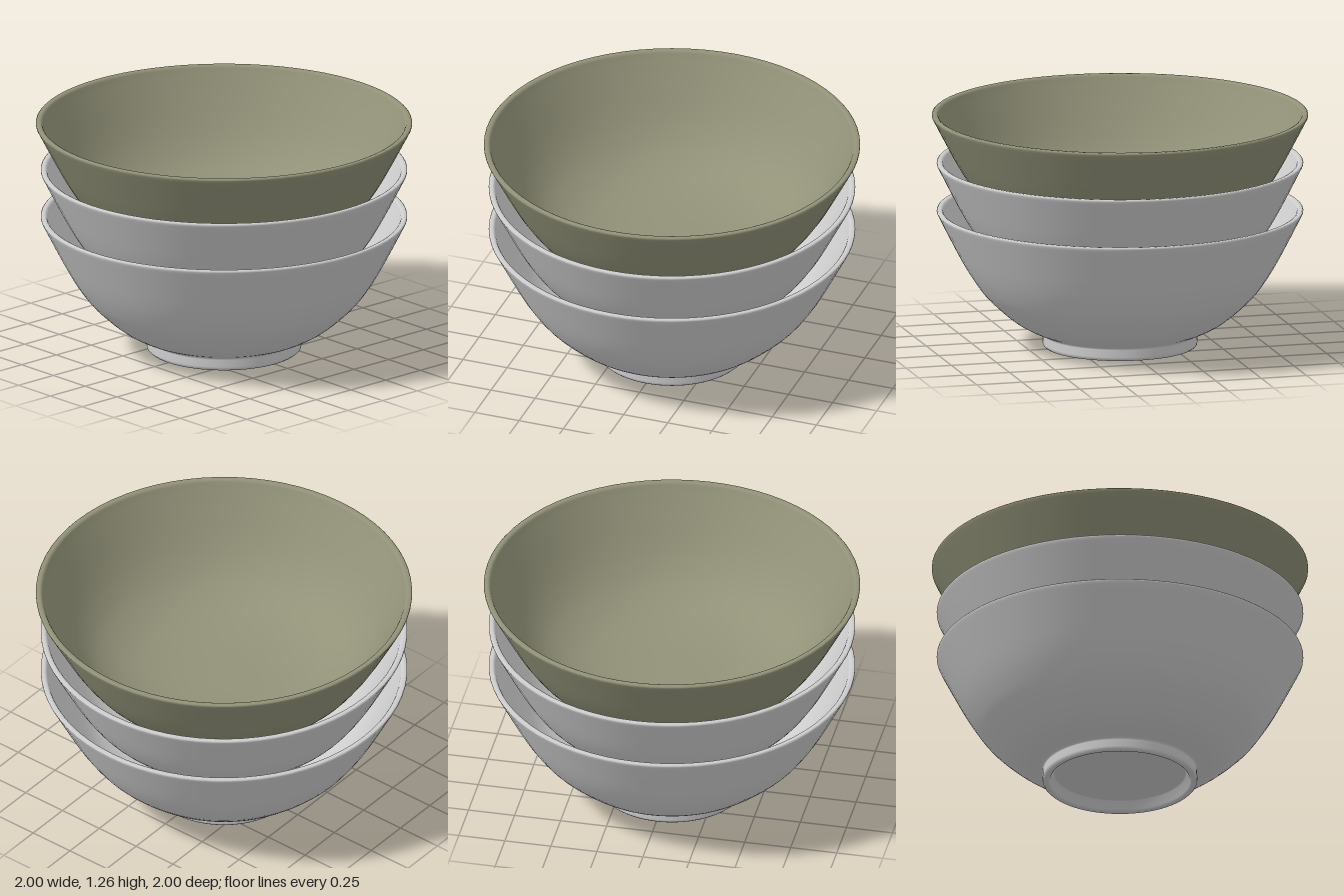
import * as THREE from 'three';

// Bowl cross-section from the underside centre, up the outside, over the rim, down inside
function bowlProfile() {
  const v = (x, y) => new THREE.Vector2(x, y);
  const foot = [
    [0, 0.055], [0.345, 0.055], [0.355, 0.052], [0.372, 0.01], [0.38, 0.003],
    [0.388, 0], [0.402, 0], [0.41, 0.008], [0.412, 0.02], [0.41, 0.06], [0.411, 0.067],
  ].map(([x, y]) => v(x, y));
  const outer = new THREE.SplineCurve([
    v(0.42, 0.073), v(0.5, 0.108), v(0.59, 0.165), v(0.71, 0.275),
    v(0.785, 0.375), v(0.845, 0.475), v(0.91, 0.6), v(0.968, 0.715),
  ]).getPoints(24);
  const rim = [
    [0.974, 0.728], [0.974, 0.735], [0.969, 0.74], [0.953, 0.74], [0.945, 0.736], [0.94, 0.728],
  ].map(([x, y]) => v(x, y));
  const inner = new THREE.SplineCurve([
    v(0.935, 0.715), v(0.875, 0.6), v(0.805, 0.475), v(0.735, 0.375),
    v(0.65, 0.29), v(0.53, 0.22), v(0.38, 0.18), v(0.2, 0.162), v(0, 0.16),
  ]).getPoints(28);
  inner[inner.length - 1].x = 0;
  return [...foot, ...outer, ...rim, ...inner];
}

export function createModel() {
  const model = new THREE.Group();
  model.name = 'bowlStack';
  const grey = new THREE.MeshStandardMaterial({ name: 'light grey', color: 0xcdcdcd });
  const olive = new THREE.MeshStandardMaterial({ name: 'olive', color: 0x929279 });
  const geometry = new THREE.LatheGeometry(bowlProfile(), 72);

  // Three nested bowls, the top one slightly wider
  const bowls = [
    ['bottomBowl', grey, 1], ['middleBowl', grey, 1], ['topBowl', olive, 1 / 0.974],
  ];
  bowls.forEach(([name, material, width], i) => {
    const bowl = new THREE.Mesh(geometry, material);
    bowl.name = name;
    bowl.scale.set(width, 1, width);
    bowl.position.y = i * 0.26;
    model.add(bowl);
  });
  return model;
}
